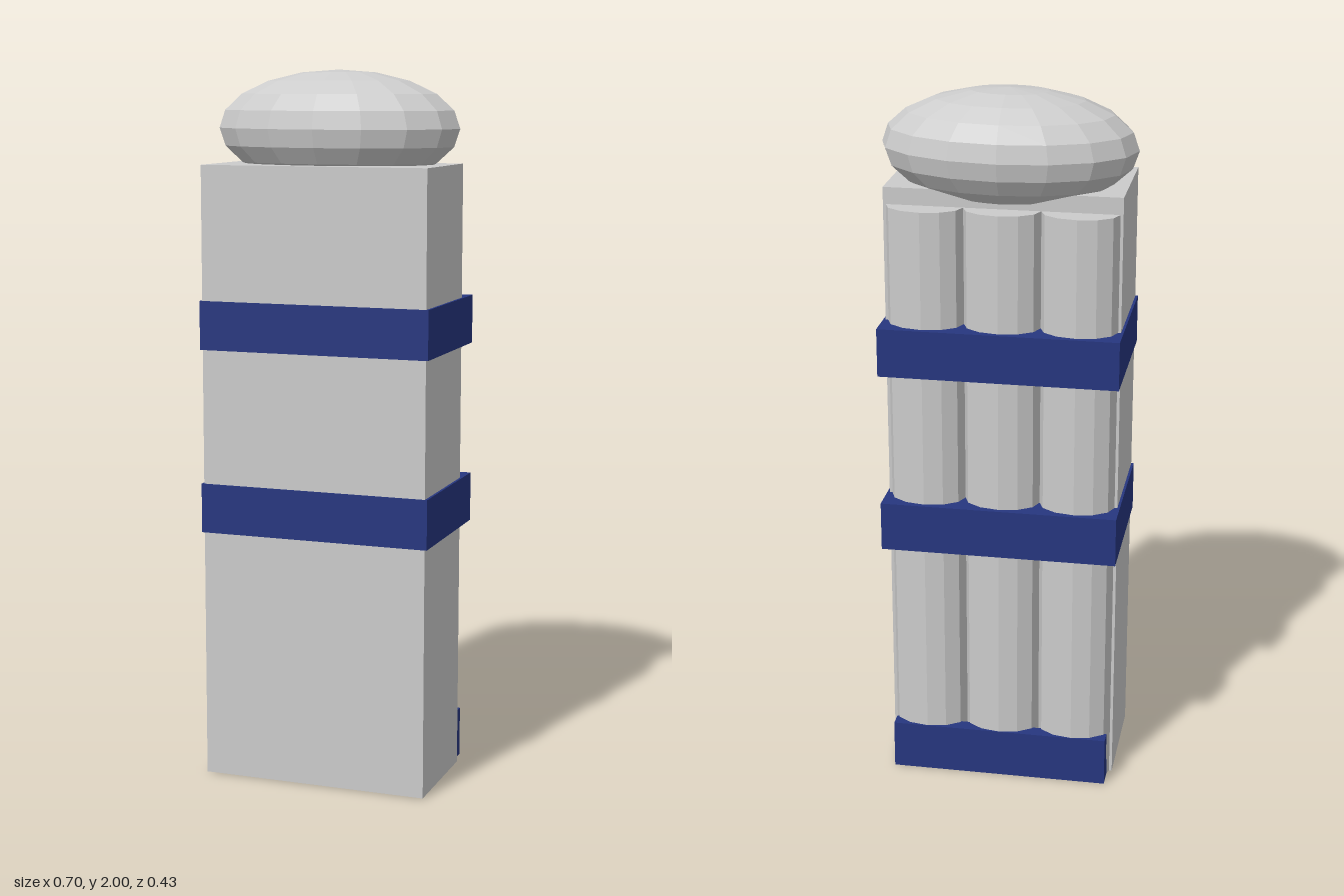
import * as THREE from 'three';

const grey = new THREE.MeshStandardMaterial({ color: 0xcccccc, flatShading: true });
const blue = new THREE.MeshStandardMaterial({ color: 0x26367f, flatShading: true });

export function createModel() {
  const model = new THREE.Group();

  const add = (name, geometry, material, x, y, z) => {
    const mesh = new THREE.Mesh(geometry, material);
    mesh.name = name;
    mesh.position.set(x, y, z);
    model.add(mesh);
    return mesh;
  };

  // Box given by its half width and its y and z limits
  const block = (name, material, halfX, y0, y1, z0, z1) =>
    add(name, new THREE.BoxGeometry(2 * halfX, y1 - y0, z1 - z0), material,
      0, (y0 + y1) / 2, (z0 + z1) / 2);

  // Main case
  block('body', grey, 0.326, 0.002, 1.742, -0.12, 0.21);

  // Row of three flattened tubes on the back
  const tubeHeight = 1.695;
  for (const i of [-1, 0, 1]) {
    const tube = add('backTube', new THREE.CylinderGeometry(0.106, 0.106, tubeHeight - 0.002, 12),
      grey, i * 0.212, tubeHeight / 2 + 0.001, -0.12);
    tube.scale.z = 0.07 / 0.106;
  }

  // Straps around the case and tubes
  block('lowerStrap', blue, 0.333, 0.71, 0.85, -0.204, 0.213);
  block('upperStrap', blue, 0.333, 1.23, 1.367, -0.204, 0.213);

  // Foot bracket: floor plate with an upright lip behind the tubes
  block('bracketFloor', blue, 0.312, 0, 0.05, -0.191, 0.12);
  block('bracketLip', blue, 0.312, 0, 0.142, -0.192, -0.15);

  // Flattened ellipsoid resting on top
  const cap = add('topCushion', new THREE.SphereGeometry(1, 16, 10), grey, 0, 1.84, -0.002);
  cap.scale.set(0.352, 0.16, 0.211);

  return model;
}
